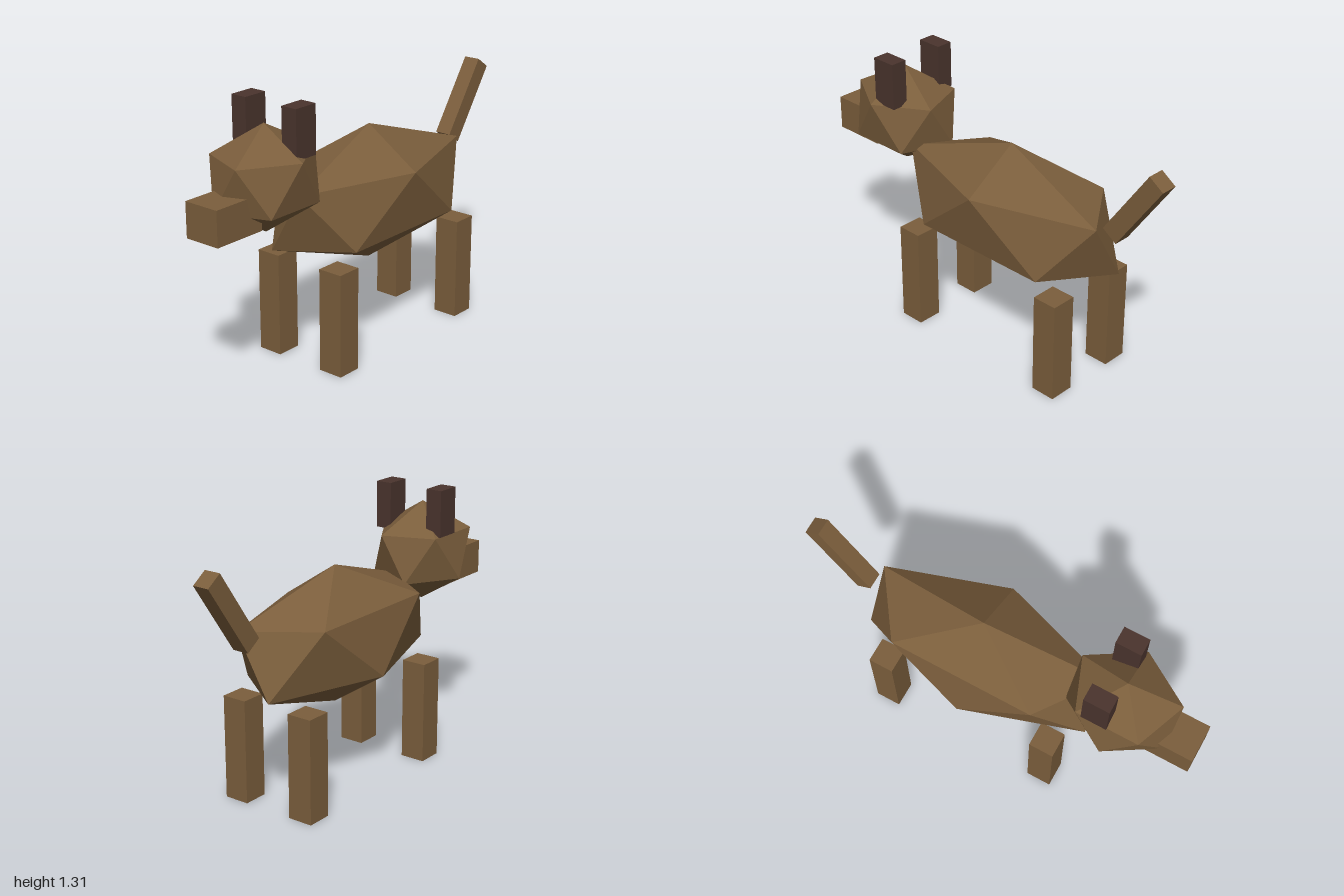
import * as THREE from 'three';

export function createModel() {
  const fur = new THREE.MeshStandardMaterial({ color: 0x7b5e3c, flatShading: true });
  fur.name = 'brown fur';
  const dark = new THREE.MeshStandardMaterial({ color: 0x4a342d, flatShading: true });
  dark.name = 'dark ear brown';

  const model = new THREE.Group();
  model.name = 'dog';

  function add(name, geometry, material, x, y, z) {
    const mesh = new THREE.Mesh(geometry, material);
    mesh.name = name;
    mesh.position.set(x, y, z);
    model.add(mesh);
    return mesh;
  }

  // Stretched icosahedron standing on a vertex, with an upper-ring corner towards +x
  function gem(rx, ry, rz) {
    return new THREE.IcosahedronGeometry(1, 0)
      .rotateX(-Math.atan((1 + Math.sqrt(5)) / 2))
      .rotateY(Math.PI / 2)
      .scale(rx, ry, rz);
  }

  // Body, head and snout
  add('body', gem(0.313, 0.335, 0.69), fur, 0, 0.716, -0.1);
  add('head', gem(0.25, 0.25, 0.294), fur, 0, 0.967, 0.612);
  add('snout', new THREE.BoxGeometry(0.184, 0.167, 0.268), fur, 0, 0.862, 0.866);

  // Paired ears and legs
  const earShape = new THREE.BoxGeometry(0.083, 0.23, 0.125);
  const legShape = new THREE.BoxGeometry(0.125, 0.504, 0.125);
  for (const [side, s] of [['left', 1], ['right', -1]]) {
    add(side + 'Ear', earShape, dark, s * 0.147, 1.196, 0.55);
    add(side + 'FrontLeg', legShape, fur, s * 0.188, 0.252, 0.341);
    add(side + 'BackLeg', legShape, fur, s * 0.188, 0.252, -0.541);
  }

  // Raised tail leaning backwards
  const tail = add('tail', new THREE.BoxGeometry(0.083, 0.417, 0.09), fur, 0, 1.01, -0.841);
  tail.rotation.x = -0.6;

  return model;
}
